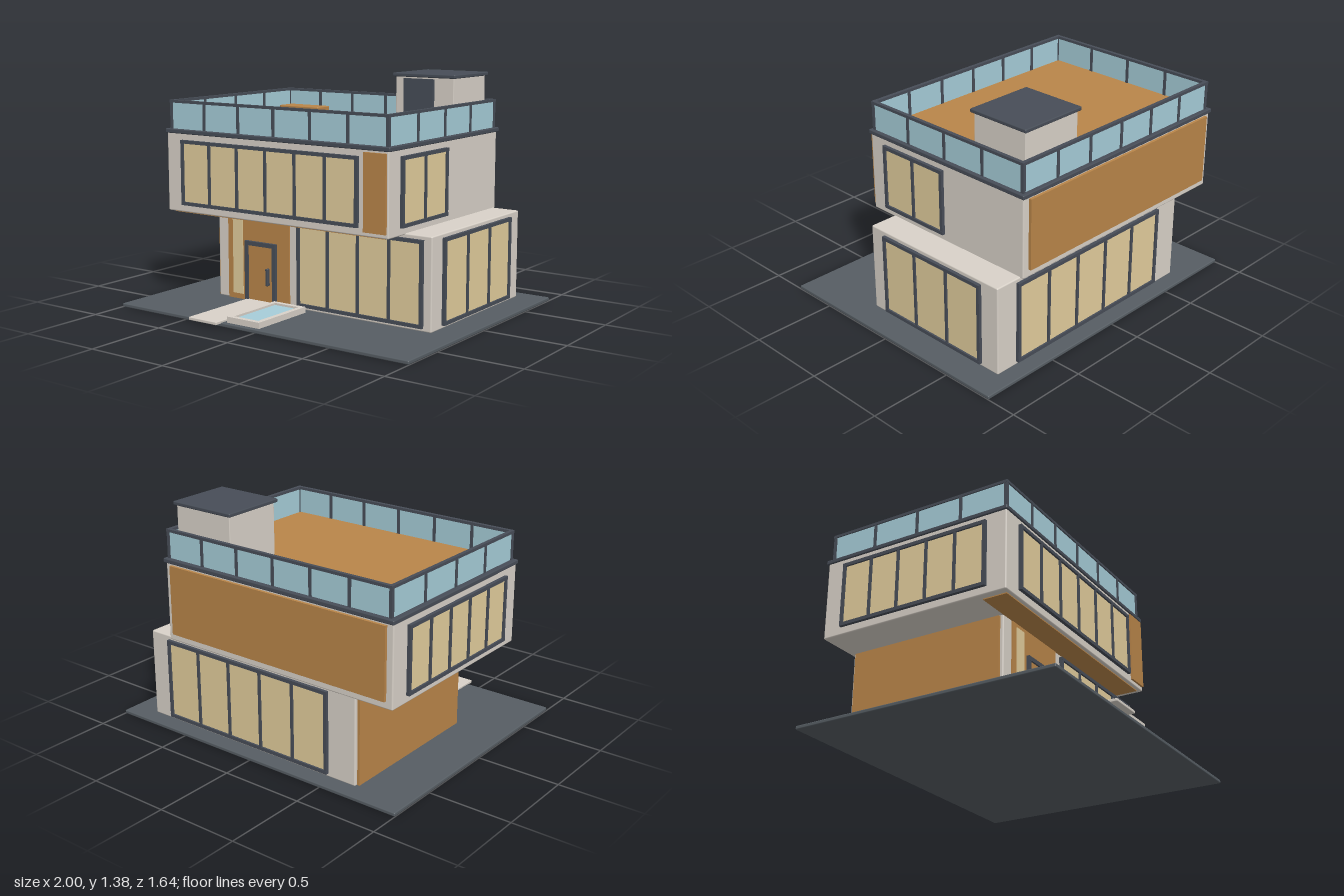
import * as THREE from 'three';
import { RoundedBoxGeometry } from 'three/addons/geometries/RoundedBoxGeometry.js';

const paint = (name, color) => {
  const m = new THREE.MeshStandardMaterial({ color });
  m.name = name;
  return m;
};

export function createModel() {
  const wall = paint('pale plaster', 0xd8d1c8);
  const wood = paint('warm wood', 0xb98549);
  const metal = paint('dark metal', 0x474d57);
  const paving = paint('grey paving', 0x565d63);
  const warmGlass = paint('lit glass', 0xe2cd9c);
  const blueGlass = paint('blue glass', 0xa6cdd8);

  const house = new THREE.Group();
  house.name = 'house';

  // Box from its limits on each axis; round > 0 softens the edges
  function box(parent, name, mat, [x0, x1], [y0, y1], [z0, z1], round = 0) {
    const size = [x1 - x0, y1 - y0, z1 - z0];
    const geo = round ? new RoundedBoxGeometry(...size, 2, round) : new THREE.BoxGeometry(...size);
    const mesh = new THREE.Mesh(geo, mat);
    mesh.position.set((x0 + x1) / 2, (y0 + y1) / 2, (z0 + z1) / 2);
    mesh.name = name;
    parent.add(mesh);
    return mesh;
  }

  // Framed window facing +z, then turned about y; centre lies on the wall face
  function framedWindow(name, width, [y0, y1], panes, x, z, turn) {
    const g = new THREE.Group();
    const w = width / 2, t = 0.02;
    box(g, 'pane', warmGlass, [-w + 0.005, w - 0.005], [y0 + 0.005, y1 - 0.005], [0, 0.009]);
    box(g, 'sill', metal, [-w, w], [y0, y0 + t], [-0.005, 0.02]);
    box(g, 'head', metal, [-w, w], [y1 - t, y1], [-0.005, 0.02]);
    for (let i = 0; i <= panes; i++) {
      const c = -w + t / 2 + (i * (width - t)) / panes;
      const h = i === 0 || i === panes ? t / 2 : 0.008;
      box(g, 'mullion', metal, [c - h, c + h], [y0, y1], [-0.005, 0.019]);
    }
    g.name = name;
    g.position.set(x, 0, z);
    g.rotation.y = turn;
    house.add(g);
  }

  // Site
  box(house, 'ground', paving, [-1, 1], [0, 0.022], [-0.82, 0.78], 0.006);
  box(house, 'path', wall, [-0.44, -0.235], [0.016, 0.034], [0.29, 0.82], 0.004);

  // Pool with a raised rim
  const pool = new THREE.Group();
  pool.name = 'pool';
  house.add(pool);
  box(pool, 'water', blueGlass, [-0.185, -0.01], [0.02, 0.045], [0.35, 0.73]);
  for (const xs of [[-0.21, -0.18], [-0.012, 0.018]]) box(pool, 'rimSide', wall, xs, [0.02, 0.057], [0.33, 0.755]);
  for (const zs of [[0.33, 0.36], [0.725, 0.755]]) box(pool, 'rimEnd', wall, [-0.18, -0.012], [0.02, 0.057], zs);

  // Storeys
  box(house, 'lowerStorey', wall, [-0.67, 0.83], [0.02, 0.553], [-0.72, 0.28], 0.008);
  box(house, 'upperStorey', wall, [-0.92, 0.66], [0.545, 1.025], [-0.74, 0.45], 0.008);
  box(house, 'soffit', wood, [-0.88, 0.62], [0.539, 0.546], [0.285, 0.43]);

  // Wood cladding
  box(house, 'entranceCladding', wood, [-0.59, -0.13], [0.022, 0.545], [0.275, 0.289]);
  box(house, 'sideCladding', wood, [-0.685, -0.665], [0.022, 0.54], [-0.70, 0.26]);
  box(house, 'frontCladding', wood, [0.505, 0.65], [0.57, 1.005], [0.445, 0.463]);
  box(house, 'backCladding', wood, [-0.88, 0.62], [0.59, 1.005], [-0.757, -0.735]);

  // Windows
  const low = [0.04, 0.53], high = [0.59, 0.98], q = Math.PI / 2;
  framedWindow('lowerFrontWindow', 0.85, low, 4, 0.355, 0.28, 0);
  framedWindow('lowerLeftWindow', 0.77, low, 3, 0.83, -0.215, q);
  framedWindow('lowerBackWindow', 1.18, low, 5, 0.1, -0.72, 2 * q);
  framedWindow('upperFrontWindow', 1.27, high, 6, -0.165, 0.45, 0);
  framedWindow('upperLeftWindow', 0.48, high, 2, 0.66, 0.095, q);
  framedWindow('upperRightWindow', 0.95, high, 5, -0.92, -0.145, -q);
  box(house, 'entranceSlitWindow', warmGlass, [-0.55, -0.475], [0.055, 0.515], [0.286, 0.294]);

  // Front door
  const door = new THREE.Group();
  door.name = 'frontDoor';
  house.add(door);
  box(door, 'leaf', wood, [-0.43, -0.24], [0.03, 0.37], [0.285, 0.299]);
  box(door, 'jamb', metal, [-0.45, -0.425], [0.022, 0.388], [0.285, 0.308]);
  box(door, 'jamb', metal, [-0.245, -0.22], [0.022, 0.388], [0.285, 0.308]);
  box(door, 'lintel', metal, [-0.45, -0.22], [0.363, 0.388], [0.285, 0.309]);
  box(door, 'handle', metal, [-0.284, -0.266], [0.135, 0.238], [0.298, 0.322], 0.004);

  // Roof terrace
  box(house, 'roofSlab', metal, [-0.928, 0.672], [1.015, 1.041], [-0.752, 0.458], 0.006);
  box(house, 'deck', wood, [-0.89, 0.635], [1.035, 1.048], [-0.72, 0.425]);
  box(house, 'bench', wood, [-0.855, -0.545], [1.045, 1.11], [-0.69, -0.56], 0.005);

  // Glass balustrade: front and back, then both sides
  const rail = new THREE.Group();
  rail.name = 'balustrade';
  house.add(rail);
  const X = [-0.892, 0.645], Z = [-0.722, 0.432];
  const glassY = [1.04, 1.2], topY = [1.196, 1.212], postY = [1.038, 1.205];
  const around = (c, h) => [c - h, c + h];
  for (const z of Z) {
    box(rail, 'glass', blueGlass, X, glassY, around(z, 0.004));
    box(rail, 'topRail', metal, [X[0] - 0.011, X[1] + 0.011], topY, around(z, 0.011));
    for (let i = 0; i <= 6; i++) {
      box(rail, 'post', metal, around(X[0] + (i * (X[1] - X[0])) / 6, 0.009), postY, around(z, 0.01));
    }
  }
  for (const x of X) {
    box(rail, 'glass', blueGlass, around(x, 0.004), glassY, Z);
    box(rail, 'topRail', metal, around(x, 0.011), topY, Z);
    for (let i = 1; i < 4; i++) {
      box(rail, 'post', metal, around(x, 0.01), postY, around(Z[0] + (i * (Z[1] - Z[0])) / 4, 0.009));
    }
  }

  // Stair house
  const stair = new THREE.Group();
  stair.name = 'stairHouse';
  house.add(stair);
  box(stair, 'walls', wall, [0.205, 0.6], [1.04, 1.36], [-0.695, -0.325], 0.005);
  box(stair, 'roof', metal, [0.19, 0.615], [1.353, 1.375], [-0.71, -0.31], 0.006);
  box(stair, 'door', metal, [0.27, 0.47], [1.045, 1.345], [-0.33, -0.306]);

  return house;
}
